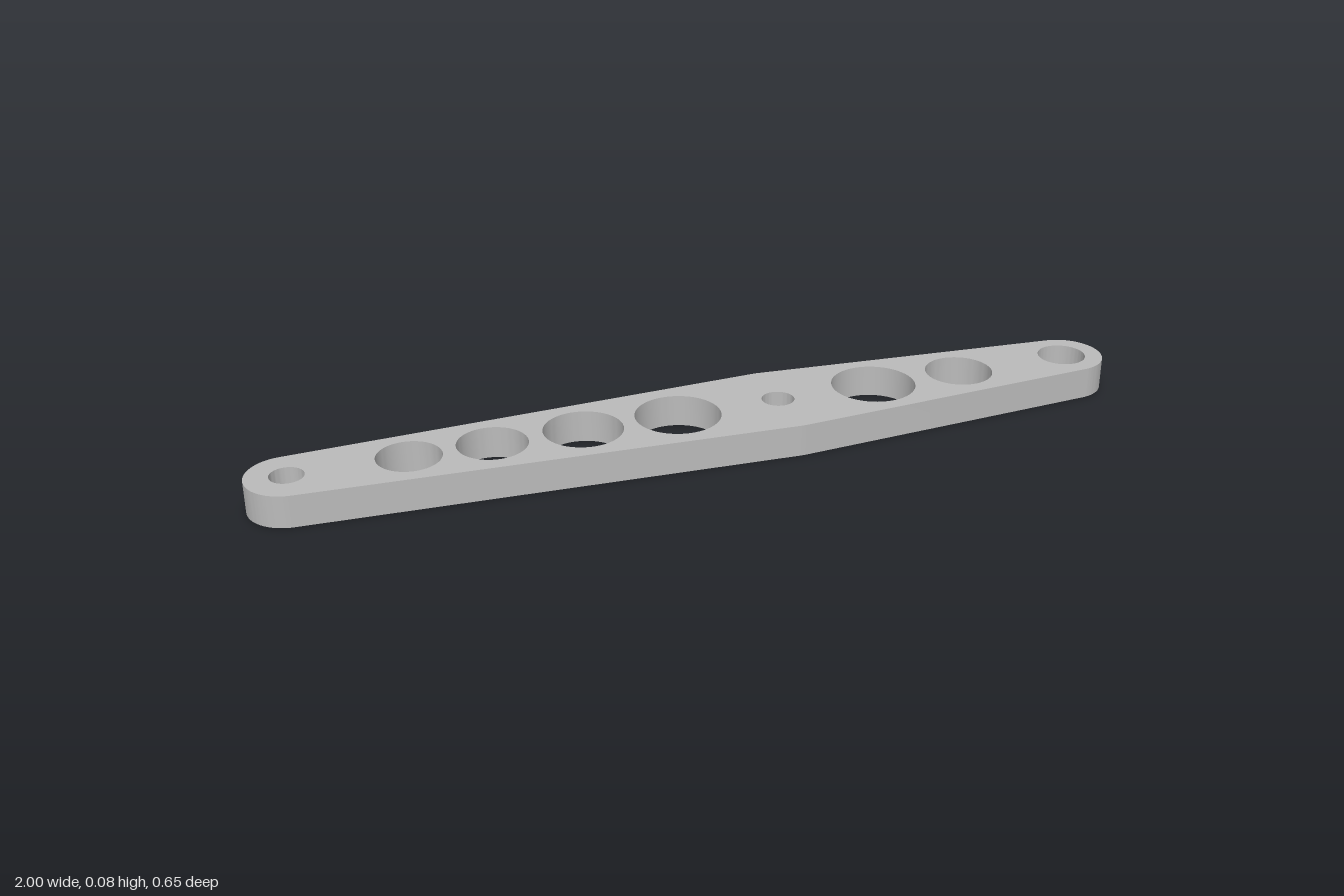
import * as THREE from 'three';
import { toCreasedNormals } from 'three/addons/utils/BufferGeometryUtils.js';

const THICKNESS = 0.075;

// Circles are [x, z, radius]; the outline wraps around these three.
const LEFT_END = [-0.907, -0.23, 0.093];
const HUB = [0.18, 0.043, 0.15];
const RIGHT_END = [0.907, 0.23, 0.093];

const HOLES = [
  [-0.908, -0.232, 0.038],
  [-0.655, -0.168, 0.073],
  [-0.476, -0.123, 0.08],
  [-0.275, -0.072, 0.091],
  [-0.059, -0.016, 0.099],
  [0.179, 0.043, 0.038],
  [0.414, 0.102, 0.099],
  [0.631, 0.158, 0.08],
  [0.903, 0.227, 0.057],
];

// Angle of the outward normal of the tangent line from one circle to the next
function tangentAngle([x1, z1, r1], [x2, z2, r2]) {
  const dx = x2 - x1, dy = z1 - z2;
  return Math.atan2(dy, dx) - Math.acos((r1 - r2) / Math.hypot(dx, dy));
}

// Counter-clockwise outline: an arc on each circle, joined by tangent lines
function outline(circles) {
  const shape = new THREE.Shape();
  const n = circles.length;
  circles.forEach((c, i) => {
    const start = tangentAngle(circles[(i + n - 1) % n], c);
    const end = tangentAngle(c, circles[(i + 1) % n]);
    shape.absarc(c[0], -c[1], c[2], start, end, false);
  });
  shape.closePath();
  return shape;
}

export function createModel() {
  const group = new THREE.Group();
  group.name = 'drilledLeverArm';

  const metal = new THREE.MeshStandardMaterial({ color: 0xbbbbbb });
  metal.name = 'grey metal';

  // Tapered arm with rounded ends, wide at the pivot
  const shape = outline([LEFT_END, HUB, RIGHT_END, HUB]);

  // Pivot, end and lightening holes
  for (const [x, z, r] of HOLES) {
    const hole = new THREE.Path();
    hole.absarc(x, -z, r, 0, Math.PI * 2, true);
    shape.holes.push(hole);
  }

  const extruded = new THREE.ExtrudeGeometry(shape, {
    depth: THICKNESS, bevelEnabled: false, curveSegments: 32,
  });
  extruded.rotateX(-Math.PI / 2);

  const arm = new THREE.Mesh(toCreasedNormals(extruded, Math.PI / 6), metal);
  arm.name = 'arm';
  group.add(arm);
  return group;
}
